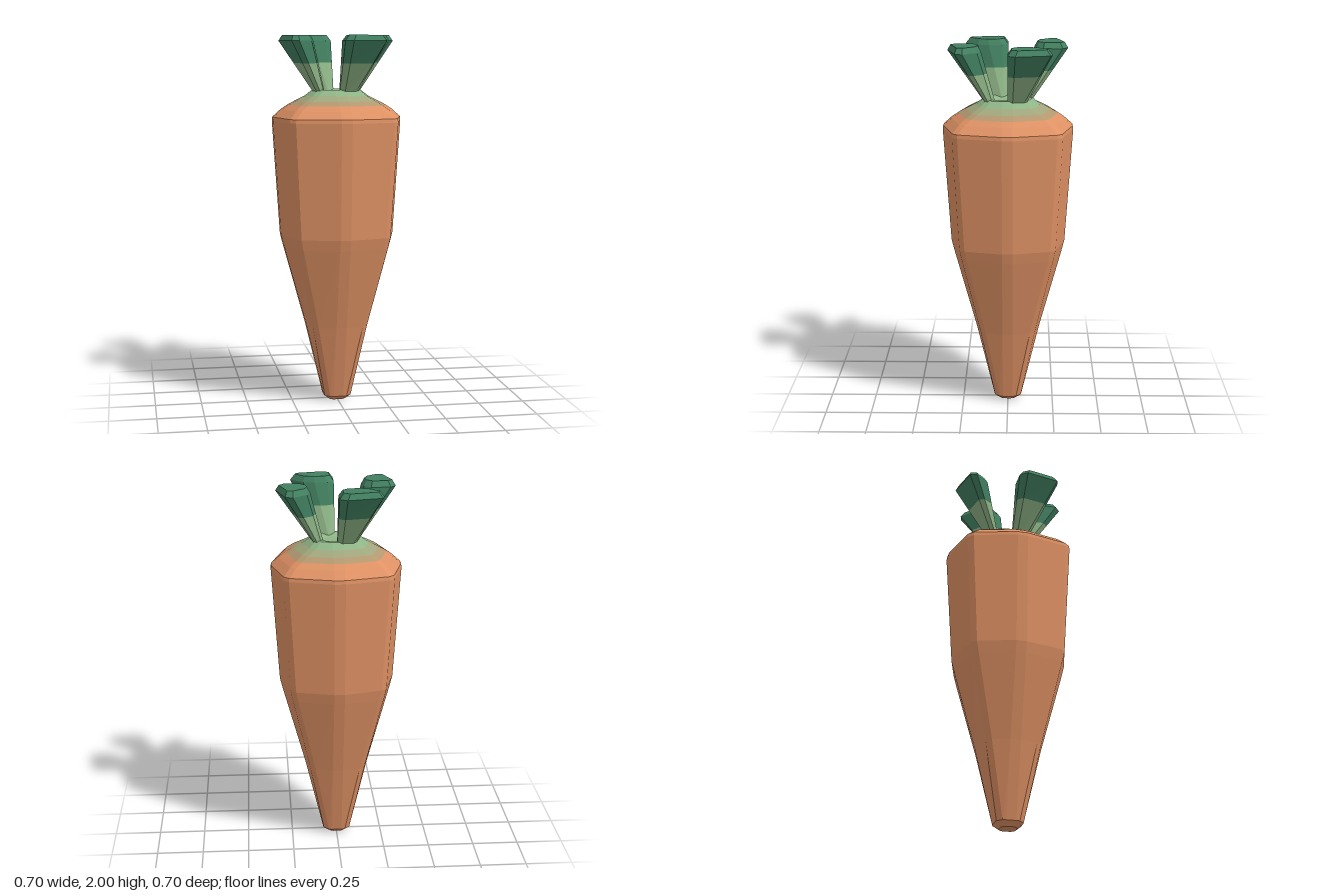
import * as THREE from 'three';

const mat = (name, color) => {
  const m = new THREE.MeshStandardMaterial({ color });
  m.name = name;
  return m;
};

// Joins cross-sections (lists of [x, y, z], anticlockwise from above, bottom to top) into a faceted skin
function loft(rings, capBottom = false, capTop = false) {
  const pos = [];
  const tri = (a, b, c) => pos.push(...a, ...b, ...c);
  const n = rings[0].length;
  for (let k = 0; k < rings.length - 1; k++) {
    const lo = rings[k], hi = rings[k + 1];
    for (let i = 0; i < n; i++) {
      const j = (i + 1) % n;
      tri(lo[i], lo[j], hi[j]);
      tri(lo[i], hi[j], hi[i]);
    }
  }
  const mid = (ring) => [0, 1, 2].map((c) => ring.reduce((s, p) => s + p[c], 0) / n);
  const cap = (ring, up) => {
    const m = mid(ring);
    for (let i = 0; i < n; i++) {
      const a = ring[i], b = ring[(i + 1) % n];
      if (up) tri(m, a, b); else tri(m, b, a);
    }
  };
  if (capBottom) cap(rings[0], false);
  if (capTop) cap(rings[rings.length - 1], true);
  const g = new THREE.BufferGeometry();
  g.setAttribute('position', new THREE.Float32BufferAttribute(pos, 3));
  g.computeVertexNormals();
  return g;
}

// Octagon with bevelled corners, radius r at height y
function octagon([y, r]) {
  const b = Math.min(0.028, r * 0.35), d = r * 0.785, e = b / 2;
  const quarter = [[b, r], [d - e, d + e], [d + e, d - e], [r, b]];
  const ring = [];
  for (let q = 0; q < 4; q++) {
    for (const [x, z] of quarter) {
      let p = [x, z];
      for (let t = 0; t < q; t++) p = [p[1], -p[0]];
      ring.push([p[0], y, p[1]]);
    }
  }
  return ring;
}

export function createModel() {
  const orange = mat('carrotOrange', 0xde9164);
  const tan = mat('shoulderTan', 0xb39870);
  const sage = mat('shoulderSage', 0xa0a67c);
  const paleGreen = mat('paleGreen', 0x8fb587);
  const leafGreen = mat('leafGreen', 0x428061);

  const model = new THREE.Group();
  model.name = 'carrot';
  const add = (name, geo, material, parent = model) => {
    const m = new THREE.Mesh(geo, material);
    m.name = name;
    parent.add(m);
  };

  // Root, from blunt tip to shoulder
  const root = [[0, 0.045], [0.025, 0.075], [0.43, 0.172], [0.87, 0.293], [0.93, 0.308],
    [1.545, 0.348], [1.565, 0.345], [1.605, 0.3], [1.63, 0.262]];
  add('root', loft(root.map(octagon), true), orange);

  // Shoulder fading to green
  add('outerShoulder', loft([[1.63, 0.262], [1.652, 0.22]].map(octagon)), tan);
  add('innerShoulder', loft([[1.652, 0.22], [1.678, 0.168]].map(octagon)), sage);
  add('crown', loft([[1.678, 0.168], [1.71, 0.125], [1.71, 0.095], [1.695, 0.06]].map(octagon), false, true), paleGreen);

  // Leaf stalk cross-sections, [x, z]
  const foot = [[0, 0.105], [0.025, 0.125], [0.08, 0.115], [0.095, 0.098],
    [0.085, 0.08], [0.034, 0.067], [0.012, 0.078], [0, 0.09]];
  const tip = [[0, 0.288], [0.04, 0.318], [0.222, 0.271], [0.232, 0.232],
    [0.165, 0.158], [0.105, 0.14], [0.035, 0.15], [0, 0.185]];
  const section = (t) => foot.map(([x, z], i) => [
    x + (tip[i][0] - x) * t, 1.69 + 0.28 * t, z + (tip[i][1] - z) * t]);
  const rim = section(1);
  const top = rim.map(([x, , z]) => [0.11 + (x - 0.11) * 0.8, 2, 0.225 + (z - 0.225) * 0.8]);

  // Four flared leaves around the crown
  for (let k = 0; k < 4; k++) {
    const leaf = new THREE.Group();
    leaf.name = `leaf${k + 1}`;
    leaf.rotation.y = (k * Math.PI) / 2;
    add('stalk', loft([section(0), section(0.58)], true), paleGreen, leaf);
    add('leafTip', loft([section(0.58), rim, top], false, true), leafGreen, leaf);
    model.add(leaf);
  }
  return model;
}
